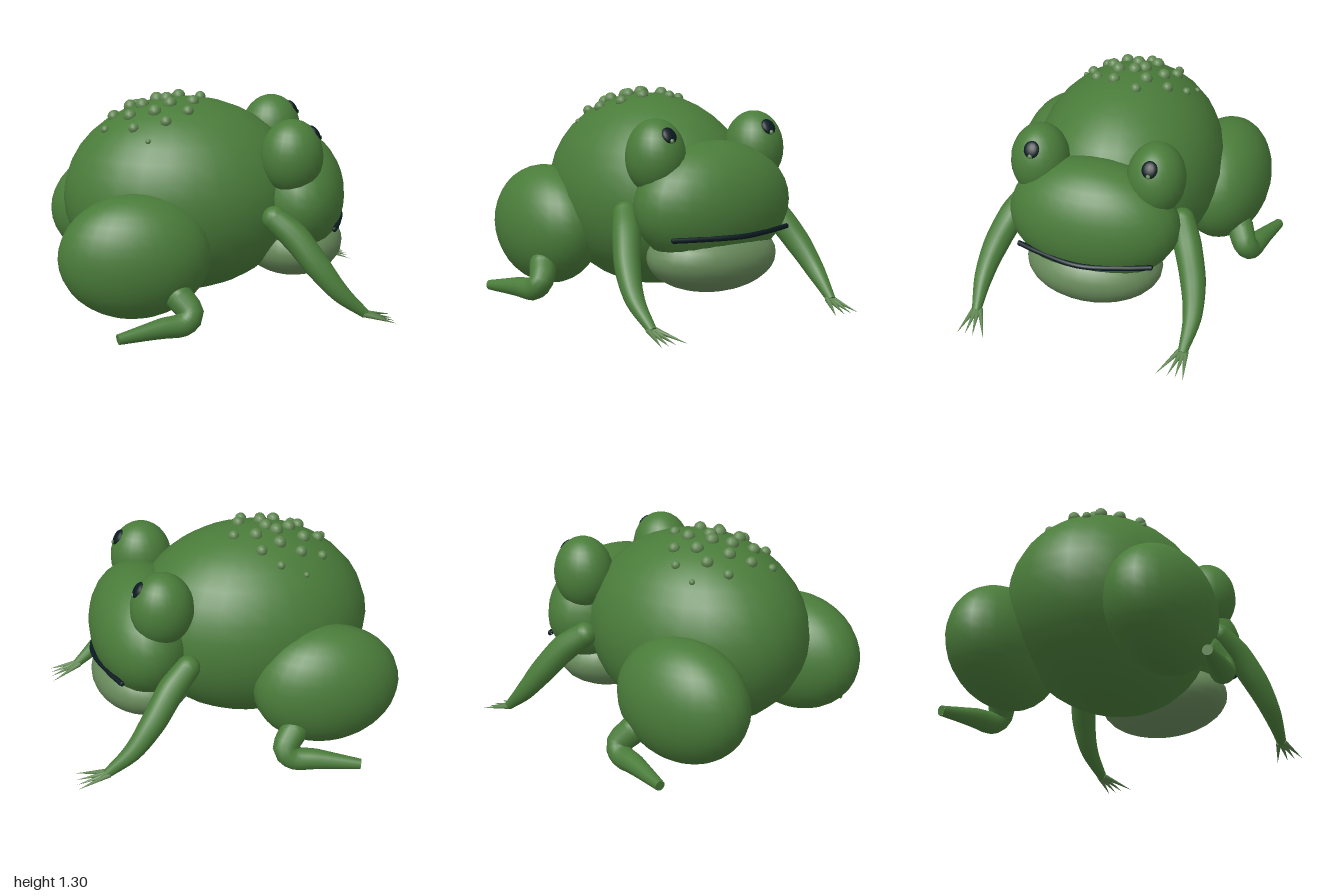
import * as THREE from 'three';

const mat = (name, color) => Object.assign(new THREE.MeshStandardMaterial({ color }), { name });

export function createModel() {
  const skin = mat('green skin', 0x4a7c3a);
  const pale = mat('pale throat', 0x688a5b);
  const wartSkin = mat('wart green', 0x5f8650);
  const dark = mat('dark ink', 0x0a1a20);

  const root = new THREE.Group();
  root.name = 'toad';

  const add = (name, geometry, material, parent = root) => {
    const mesh = new THREE.Mesh(geometry, material);
    mesh.name = name;
    parent.add(mesh);
    return mesh;
  };
  const ellipsoid = (name, center, radii, material, parent, w = 28, h = 18) => {
    const mesh = add(name, new THREE.SphereGeometry(1, w, h), material, parent);
    mesh.position.set(...center);
    mesh.scale.set(...radii);
    return mesh;
  };

  // Tapered limb through stations [x, y, z, radius], rounded start and flat end
  const limb = (name, stations, material, parent) => {
    const curve = new THREE.CatmullRomCurve3(stations.map(([x, y, z]) => new THREE.Vector3(x, y, z)));
    const rings = 20, sides = 14, last = stations.length - 1;
    const geo = new THREE.TubeGeometry(curve, rings, 1, sides);
    const pos = geo.attributes.position, v = new THREE.Vector3();
    for (let i = 0; i <= rings; i++) {
      const c = curve.getPointAt(i / rings);
      const f = curve.getUtoTmapping(i / rings) * last;
      const k = Math.min(Math.floor(f), last - 1);
      const r = THREE.MathUtils.lerp(stations[k][3], stations[k + 1][3], f - k);
      for (let j = 0; j <= sides; j++) {
        const n = i * (sides + 1) + j;
        v.fromBufferAttribute(pos, n).sub(c).multiplyScalar(r).add(c);
        pos.setXYZ(n, v.x, v.y, v.z);
      }
    }
    add(name, geo, material, parent);
    const [x, y, z, r] = stations[0];
    ellipsoid(name + ' joint', [x, y, z], [r, r, r], material, parent, 14, 10);
    const cap = add(name + ' end', new THREE.CircleGeometry(stations[last][3], sides), material, parent);
    cap.position.copy(curve.getPoint(1));
    cap.quaternion.setFromUnitVectors(new THREE.Vector3(0, 0, 1), curve.getTangent(1));
  };

  // Cone from a base point to a sharp tip
  const spike = (name, from, to, radius, material, parent) => {
    const a = new THREE.Vector3(...from), b = new THREE.Vector3(...to);
    const d = b.clone().sub(a);
    const mesh = add(name, new THREE.ConeGeometry(radius, d.length(), 8), material, parent);
    mesh.position.copy(a).add(b).multiplyScalar(0.5);
    mesh.quaternion.setFromUnitVectors(new THREE.Vector3(0, 1, 0), d.normalize());
  };

  // Body, head and throat
  const bodyC = [-0.2, 0.67, 0], bodyR = [0.735, 0.6, 0.588];
  ellipsoid('body', bodyC, bodyR, skin);
  ellipsoid('head', [0.485, 0.67, 0], [0.317, 0.375, 0.525], skin);
  ellipsoid('throat', [0.48, 0.355, 0], [0.32, 0.215, 0.42], pale);

  // Mouth line
  const lips = [[0.675, -0.415], [0.728, -0.27], [0.79, 0], [0.728, 0.27], [0.675, 0.415]];
  const lipCurve = new THREE.CatmullRomCurve3(lips.map(([x, z]) => new THREE.Vector3(x, 0.517, z)));
  add('mouth', new THREE.TubeGeometry(lipCurve, 24, 0.016, 8), dark);
  for (const [x, z] of [lips[0], lips[4]]) {
    ellipsoid('mouth corner', [x, 0.517, z], [0.015, 0.015, 0.008], dark, root, 8, 6);
  }

  // Warts on the back, fading toward the edge of the patch
  const warts = [
    [-0.46, -0.36], [-0.31, -0.33], [-0.6, -0.2], [-0.46, -0.225], [-0.215, -0.235], [-0.34, -0.175],
    [-0.51, -0.085], [-0.21, -0.1], [-0.08, -0.075], [-0.35, -0.05], [-0.295, 0], [-0.445, 0.02],
    [-0.62, -0.015], [-0.68, 0.11], [-0.53, 0.12], [-0.285, 0.1], [-0.145, 0.085], [-0.385, 0.165],
    [-0.19, 0.21], [-0.52, 0.25], [-0.33, 0.28], [-0.445, 0.37],
  ];
  for (const [x, z] of warts) {
    const y = bodyC[1] + bodyR[1] * Math.sqrt(1 - ((x - bodyC[0]) / bodyR[0]) ** 2 - (z / bodyR[2]) ** 2);
    const r = 0.042 * Math.max(0.25, 1 - (Math.hypot(x + 0.36, z) / 0.43) ** 4);
    ellipsoid('wart', [x, y, z], [r, r, r], wartSkin, root, 10, 8);
  }

  // Paired parts, mirrored across z
  for (const s of [1, -1]) {
    const flip = (list) => list.map(([x, y, z, r]) => [x, y, z * s, r]);

    const eye = new THREE.Group();
    eye.name = 'eye';
    root.add(eye);
    ellipsoid('eyeball', [0.415, 0.97, 0.36 * s], [0.19, 0.225, 0.175], skin, eye, 24, 16);
    const pupil = ellipsoid('pupil', [0.555, 1.108, 0.36 * s], [0.022, 0.052, 0.048], dark, eye, 14, 10);
    pupil.rotation.z = 0.59;
    ellipsoid('eye glint', [0.582, 1.078, 0.36 * s], [0.016, 0.016, 0.016], wartSkin, eye, 8, 6);

    const foreleg = new THREE.Group();
    foreleg.name = 'foreleg';
    root.add(foreleg);
    limb('arm', flip([
      [0.29, 0.625, 0.49, 0.075], [0.4, 0.53, 0.555, 0.085], [0.53, 0.36, 0.63, 0.077],
      [0.66, 0.2, 0.665, 0.057], [0.82, 0.057, 0.655, 0.028],
    ]), skin, foreleg);
    for (const tip of [0.54, 0.61, 0.66, 0.71]) {
      const base = 0.655 + (tip - 0.63) * 0.2;
      spike('toe', [0.805, 0.06, base * s], [1, 0.006, tip * s], 0.018, wartSkin, foreleg);
    }

    const hindleg = new THREE.Group();
    hindleg.name = 'hindleg';
    root.add(hindleg);
    ellipsoid('thigh', [-0.55, 0.442, 0.542 * s], [0.45, 0.374, 0.29], skin, hindleg);
    limb('shin and foot', flip([
      [-0.31, 0.24, 0.71, 0.085], [-0.245, 0.15, 0.765, 0.076], [-0.29, 0.1, 0.79, 0.072],
      [-0.42, 0.09, 0.82, 0.062], [-0.68, 0.062, 0.89, 0.031],
    ]), skin, hindleg);
  }
  return root;
}
